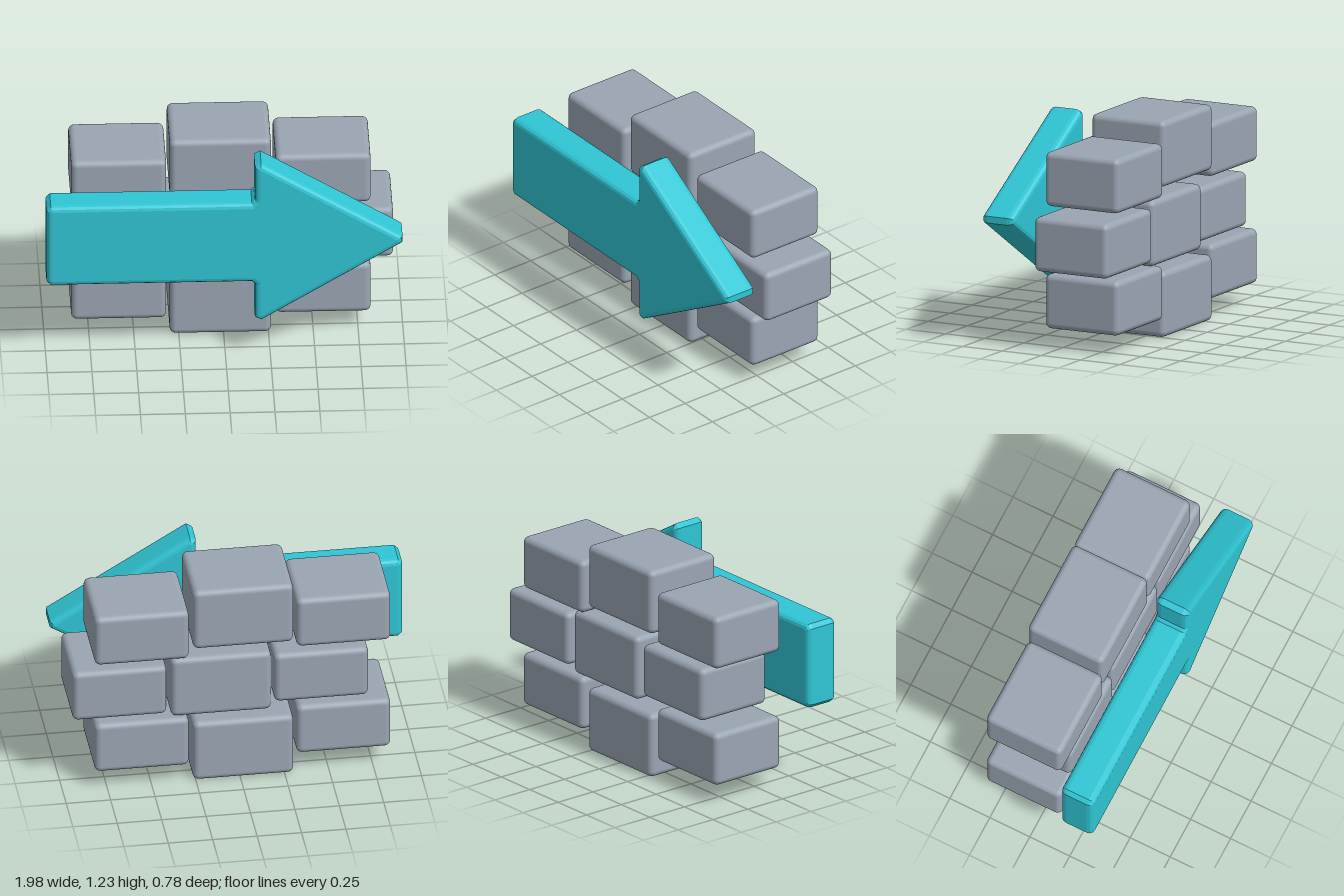
import * as THREE from 'three';
import { RoundedBoxGeometry } from 'three/addons/geometries/RoundedBoxGeometry.js';

const stone = new THREE.MeshStandardMaterial({ color: 0x9aa5b3 });
stone.name = 'stone grey';
const teal = new THREE.MeshStandardMaterial({ color: 0x2fc5d4 });
teal.name = 'arrow teal';

// Cut each corner of a polygon; every point is [x, y, cut length]
function chamferedShape(points) {
  const out = [];
  points.forEach(([x, y, cut], i) => {
    const p = new THREE.Vector2(x, y);
    for (const step of [-1, 1]) {
      const [nx, ny] = points[(i + step + points.length) % points.length];
      const dir = new THREE.Vector2(nx, ny).sub(p).normalize();
      out.push(p.clone().addScaledVector(dir, cut));
    }
  });
  return new THREE.Shape(out);
}

function createArrow() {
  const halfShaft = 0.22, halfHead = 0.465, neck = 0.193, tip = 0.96;
  // Front face outline, counter-clockwise; the bevel grows outwards from it
  const shape = chamferedShape([
    [-0.968, -halfShaft, 0.006],
    [neck, -halfShaft, 0.035],
    [neck, -halfHead, 0.005],
    [tip, 0, 0.005],
    [neck, halfHead, 0.005],
    [neck, halfShaft, 0.035],
    [-0.968, halfShaft, 0.006],
  ]);
  const geometry = new THREE.ExtrudeGeometry(shape, {
    depth: 0.13, bevelThickness: 0.035, bevelSize: 0.03, bevelSegments: 3,
  });
  const arrow = new THREE.Mesh(geometry, teal);
  arrow.name = 'arrow';
  arrow.position.set(0, 0.738, 0.225);
  return arrow;
}

function createBrickWall() {
  const wall = new THREE.Group();
  wall.name = 'brickWall';
  const columns = [
    { x: -0.585, z: -0.12, width: 0.53, height: 0.31, ys: [0.27, 0.617, 0.965] },
    { x: -0.018, z: -0.138, width: 0.565, height: 0.375, ys: [0.191, 0.617, 1.046] },
    { x: 0.555, z: -0.153, width: 0.53, height: 0.31, ys: [0.27, 0.617, 0.965] },
  ];
  columns.forEach(({ x, z, width, height, ys }, c) => {
    const geometry = new RoundedBoxGeometry(width, height, 0.47, 3, 0.034);
    ys.forEach((y, r) => {
      const brick = new THREE.Mesh(geometry, stone);
      brick.name = `brickRow${r + 1}Column${c + 1}`;
      // The middle course is staggered sideways
      brick.position.set(x + (r === 1 ? 0.125 : 0), y, z);
      wall.add(brick);
    });
  });
  return wall;
}

export function createModel() {
  const model = new THREE.Group();
  model.name = 'brickWallWithArrow';
  model.add(createBrickWall(), createArrow());
  return model;
}
